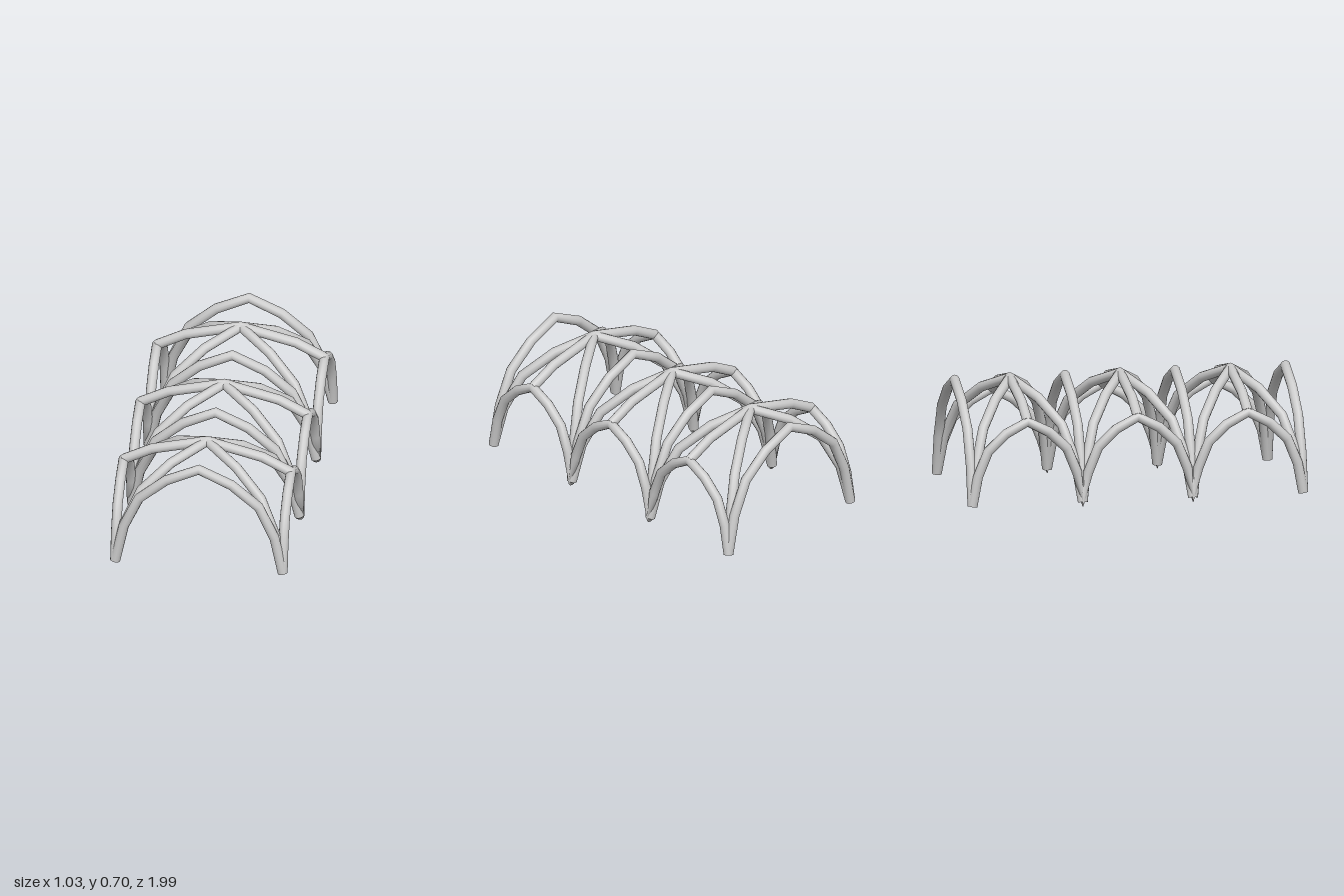
import * as THREE from 'three';

const RADIUS = 0.029, SIDES = 12;
const HALF_WIDTH = 0.484, BAY = 0.645, FOOT = 0.035, CROWN = 0.678, SIDE_CROWN = 0.516;
// half of an arch from foot to crown: [distance from centre, height], both as fractions
const HALF_ARCH = [[1, 0], [0.9, 0.357], [0.714, 0.66], [0.39, 0.865], [0, 1]];

// capped round tube along a path lying in one vertical plane
function tube(points) {
  const pos = [], index = [], n = points.length;
  const plan = points[n - 1].clone().sub(points[0]).setY(0).normalize();
  const side = new THREE.Vector3(plan.z, 0, -plan.x);
  const dir = (i) => points[i + 1].clone().sub(points[i]).normalize();
  const ring = (p, t) => {
    const up = t.clone().cross(side);
    for (let j = 0; j < SIDES; j++) {
      const a = (j / SIDES) * Math.PI * 2;
      const q = p.clone().addScaledVector(side, RADIUS * Math.cos(a)).addScaledVector(up, RADIUS * Math.sin(a));
      pos.push(q.x, q.y, q.z);
    }
  };
  const tangents = points.map((p, i) => {
    const t = new THREE.Vector3();
    if (i > 0) t.add(dir(i - 1));
    if (i < n - 1) t.add(dir(i));
    return t.normalize();
  });
  points.forEach((p, i) => ring(p, tangents[i]));
  for (let i = 0; i < n - 1; i++) {
    for (let j = 0; j < SIDES; j++) {
      const a = i * SIDES + j, b = i * SIDES + (j + 1) % SIDES;
      index.push(a, b, b + SIDES, a, b + SIDES, a + SIDES);
    }
  }
  // end caps with their own vertices for a sharp edge
  for (const end of [0, n - 1]) {
    const start = pos.length / 3;
    ring(points[end], tangents[end]);
    for (let j = 1; j < SIDES - 1; j++) {
      if (end) index.push(start, start + j, start + j + 1);
      else index.push(start, start + j + 1, start + j);
    }
  }
  const geometry = new THREE.BufferGeometry();
  geometry.setAttribute('position', new THREE.Float32BufferAttribute(pos, 3));
  geometry.setIndex(index);
  geometry.computeVertexNormals();
  return geometry;
}

// full arch between two feet, given as plan positions
function arch(x0, z0, x1, z1, crown) {
  const half = (s) => HALF_ARCH.map(([d, h]) => new THREE.Vector3(
    (x0 + x1) / 2 + s * d * (x1 - x0) / 2,
    FOOT + h * (crown - FOOT),
    (z0 + z1) / 2 + s * d * (z1 - z0) / 2));
  return [...half(-1), ...half(1).reverse().slice(1)];
}

export function createModel() {
  const group = new THREE.Group();
  group.name = 'ribVault';
  const material = new THREE.MeshStandardMaterial({ color: 0xcccccc });
  const add = (name, points) => {
    const mesh = new THREE.Mesh(tube(points), material);
    mesh.name = name;
    group.add(mesh);
  };
  const W = HALF_WIDTH;

  // arches across the hall
  for (let i = 0; i < 4; i++) {
    const z = (i - 1.5) * BAY;
    add('transverseArch', arch(-W, z, W, z, CROWN));
  }

  for (let i = -1; i <= 1; i++) {
    const zc = i * BAY, z0 = zc - BAY / 2, z1 = zc + BAY / 2;
    // crossing diagonals of each bay
    add('diagonalRib', arch(-W, z0, W, z1, CROWN));
    add('diagonalRib', arch(W, z0, -W, z1, CROWN));
    // ridge from side crown to side crown
    add('ridgeRib', [[-W, SIDE_CROWN], [-0.32, 0.6], [0, CROWN], [0.32, 0.6], [W, SIDE_CROWN]]
      .map(([x, y]) => new THREE.Vector3(x, y, zc)));
  }

  // continuous row of three arches along each side
  for (const x of [-W, W]) {
    const path = [];
    for (let i = -1; i <= 1; i++) {
      const bay = arch(x, (i - 0.5) * BAY, x, (i + 0.5) * BAY, SIDE_CROWN);
      path.push(...(i > -1 ? bay.slice(1) : bay));
    }
    add(x > 0 ? 'leftArcade' : 'rightArcade', path);
  }
  return group;
}
